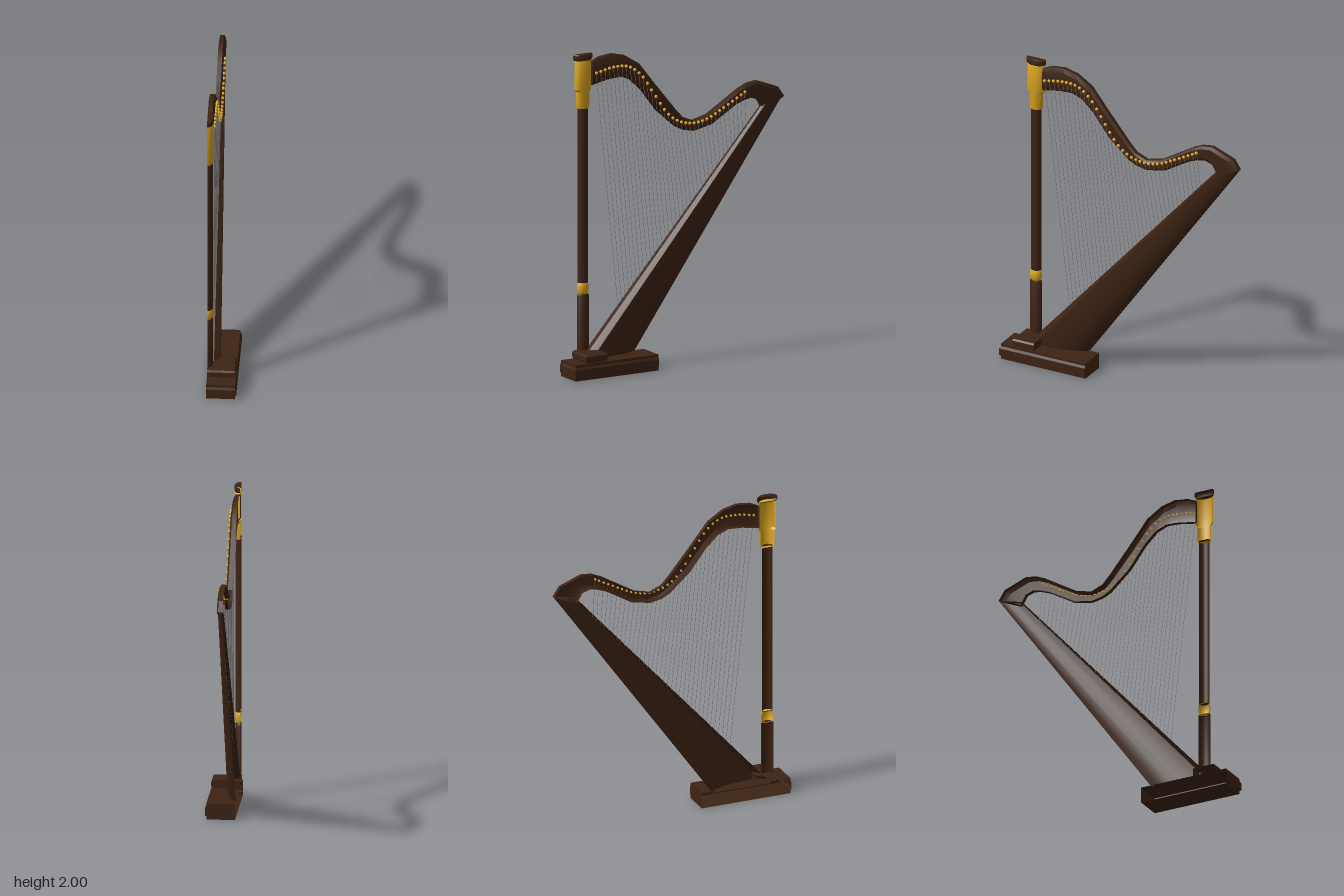
import * as THREE from 'three';
import { toCreasedNormals } from 'three/addons/utils/BufferGeometryUtils.js';

const WOOD = new THREE.MeshStandardMaterial({ color: 0x3d2314, side: THREE.DoubleSide });
const GOLD = new THREE.MeshStandardMaterial({ color: 0xdaa520, side: THREE.DoubleSide });
const WIRE = new THREE.MeshStandardMaterial({ color: 0x808080 });
const CUT = -0.09; // open side of the half harp
const COLUMN_Z = 0.63;

// Skin over rings of [x, y, z] that start and end on the open side;
// counterclockwise seen from the last ring, with both ends capped
function loft(rings, crease) {
  const n = rings[0].length, index = [];
  for (let i = 0; i < rings.length - 1; i++) {
    for (let j = 0; j < n - 1; j++) {
      const a = i * n + j, b = a + 1;
      index.push(a, b, b + n, a, b + n, a + n);
    }
  }
  const last = (rings.length - 1) * n;
  for (let j = 1; j < n - 1; j++) index.push(0, j + 1, j, last, last + j, last + j + 1);
  const g = new THREE.BufferGeometry();
  g.setAttribute('position', new THREE.Float32BufferAttribute(rings.flat(2), 3));
  g.setIndex(index);
  return toCreasedNormals(g, crease);
}

export function createModel() {
  const harp = new THREE.Group();
  harp.name = 'harp';
  const add = (name, geometry, material, parent = harp) => {
    const mesh = new THREE.Mesh(geometry, material);
    mesh.name = name;
    parent.add(mesh);
    return mesh;
  };

  // Moulded blocks: levels are [y, inset]
  const block = (x1, z1, z0, levels) => loft(levels.map(([y, i]) => [
    [CUT, y, z1 - i], [x1 - i, y, z1 - i], [x1 - i, y, z0], [CUT, y, z0],
  ]), 0.3);
  add('base', block(0.093, 0.79, 0.195,
    [[0, 0.008], [0.02, 0.008], [0.025, 0], [0.07, 0], [0.085, 0.008], [0.1, 0.008]]), WOOD);
  add('plinth', block(0.085, 0.705, 0.555,
    [[0.1, 0.008], [0.11, 0.008], [0.115, 0], [0.14, 0], [0.15, 0.008]]), WOOD);

  // Half-round column parts: levels are [y, radius along z, depth along x]
  const halfRound = (levels) => loft(levels.map(([y, r, d]) =>
    Array.from({ length: 13 }, (_, k) => {
      const t = k / 12 * Math.PI;
      return [CUT + d * Math.sin(t), y, COLUMN_Z + r * Math.cos(t)];
    })), 0.5);
  add('lowerColumn', halfRound([[0.14, 0.04, 0.034], [0.49, 0.04, 0.034], [0.5, 0.035, 0.03]]), WOOD);
  add('columnRing', halfRound([[0.497, 0.03, 0.026], [0.51, 0.036, 0.031], [0.525, 0.039, 0.034],
    [0.55, 0.039, 0.034], [0.563, 0.036, 0.031], [0.575, 0.03, 0.026]]), GOLD);
  add('column', halfRound([[0.57, 0.035, 0.032], [1.67, 0.035, 0.032]]), WOOD);
  add('capital', halfRound([[1.66, 0.041, 0.033], [1.668, 0.045, 0.035], [1.765, 0.046, 0.035],
    [1.778, 0.058, 0.038], [1.955, 0.058, 0.038], [1.965, 0.052, 0.035]]), GOLD);
  add('columnCap', halfRound([[1.96, 0.058, 0.036], [1.97, 0.066, 0.038], [1.993, 0.066, 0.038],
    [2, 0.06, 0.035]]), WOOD);

  // Soundbox: flat front board, rounded back; section is [depth, width] in fractions
  const section = [[0, 0], [0, 0.5], [0.1, 1], [0.3, 1], [0.5, 0.9], [0.7, 0.72], [0.88, 0.42], [1, 0]];
  const boxEnds = [
    { front: [0.09, 0.654], back: [0.09, 0.267], width: 0.075 },
    { front: [1.53, -0.63], back: [1.57, -0.787], width: 0.032 },
  ];
  add('soundbox', loft(boxEnds.map(({ front, back, width }) => section.map(([d, w]) => [
    CUT + w * width,
    front[0] + (back[0] - front[0]) * d,
    front[1] + (back[1] - front[1]) * d,
  ])), 0.5), WOOD);

  // Neck: upper and lower outline as [z, y] pairs, with chamfered edges
  const upper = [[0.575, 1.942], [0.52, 1.967], [0.43, 1.978], [0.34, 1.957], [0.24, 1.894], [0.13, 1.756],
    [-0.02, 1.575], [-0.07, 1.522], [-0.146, 1.492], [-0.247, 1.517], [-0.36, 1.585], [-0.47, 1.652],
    [-0.53, 1.678], [-0.6, 1.687], [-0.745, 1.632], [-0.787, 1.57]];
  const lower = [[0.575, 1.8], [0.46, 1.822], [0.37, 1.828], [0.3, 1.8], [0.22, 1.725], [0.115, 1.587],
    [-0.02, 1.468], [-0.07, 1.443], [-0.146, 1.427], [-0.273, 1.453], [-0.36, 1.505], [-0.443, 1.554],
    [-0.5, 1.576], [-0.55, 1.586], [-0.6, 1.57], [-0.635, 1.51]];
  const neckSection = [[1, -0.095], [1, -0.068], [0.82, -0.058], [0.18, -0.058], [0, -0.068], [0, -0.095]];
  add('neck', loft(upper.map((u, i) => neckSection.map(([t, x]) => [
    x,
    lower[i][1] + (u[1] - lower[i][1]) * t,
    lower[i][0] + (u[0] - lower[i][0]) * t,
  ])), 0.4), WOOD);

  // Tuning pins along the neck, each with a string down to the soundboard
  const pinLine = new THREE.CatmullRomCurve3([
    [0.553, 1.875], [0.43, 1.897], [0.33, 1.89], [0.24, 1.83], [0.14, 1.69], [0.05, 1.565],
    [-0.03, 1.505], [-0.14, 1.48], [-0.24, 1.497], [-0.35, 1.55], [-0.5, 1.63],
  ].map(([z, y]) => new THREE.Vector3(-0.052, y, z)));
  const samples = pinLine.getPoints(400);
  const pins = new THREE.Group(), strings = new THREE.Group();
  pins.name = 'tuningPins';
  strings.name = 'strings';
  harp.add(pins, strings);
  const head = new THREE.SphereGeometry(0.0105, 10, 8);
  const shaft = new THREE.CylinderGeometry(0.004, 0.004, 0.02, 6).rotateZ(Math.PI / 2);
  const wire = new THREE.CylinderGeometry(0.0013, 0.0013, 1, 5);
  const up = new THREE.Vector3(0, 1, 0);
  const count = 36;
  for (let i = 0; i < count; i++) {
    const t = i / (count - 1);
    const z = 0.553 - 1.053 * t;
    const pin = samples.find((p) => p.z <= z + 1e-6) ?? samples[samples.length - 1];
    add('pinHead', head, GOLD, pins).position.copy(pin);
    add('pinShaft', shaft, GOLD, pins).position.set(pin.x - 0.01, pin.y, pin.z);

    const top = new THREE.Vector3(-0.056, pin.y, pin.z);
    const footZ = 0.39 - 0.91 * t;
    const foot = new THREE.Vector3(-0.07, 0.15 + 1.105 * (0.6 - footZ), footZ);
    const span = top.clone().sub(foot);
    const string = add('string', wire, WIRE, strings);
    string.position.copy(top).add(foot).multiplyScalar(0.5);
    string.scale.y = span.length();
    string.quaternion.setFromUnitVectors(up, span.normalize());
  }
  return harp;
}
